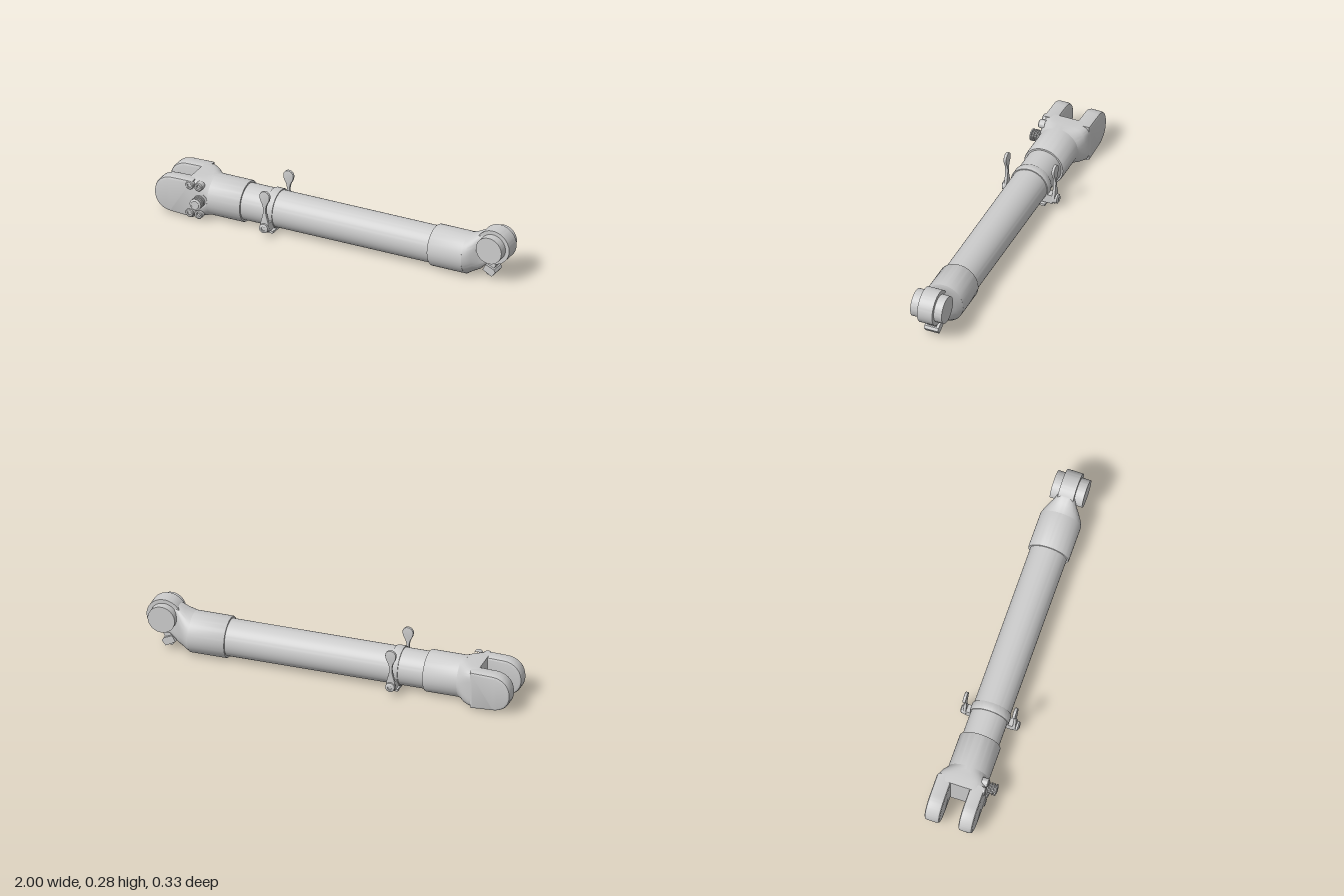
import * as THREE from 'three';
import { toCreasedNormals } from 'three/addons/utils/BufferGeometryUtils.js';

const material = new THREE.MeshStandardMaterial({ color: 0xcccccc });
const AXIS_Y = 0.113, AXIS_Z = -0.006;

export function createModel() {
  const model = new THREE.Group();

  const add = (name, geometry, parent = model) => {
    const mesh = new THREE.Mesh(toCreasedNormals(geometry, 0.55), material);
    mesh.name = name;
    parent.add(mesh);
    return mesh;
  };

  // Turned part along x, from [x, radius] pairs
  const turnedX = (name, profile) => {
    const g = new THREE.LatheGeometry(profile.map(([x, r]) => new THREE.Vector2(r, x)), 64);
    g.rotateZ(-Math.PI / 2).translate(0, AXIS_Y, AXIS_Z);
    return add(name, g);
  };

  // Turned part along z; dir = 1 faces forward, -1 backward
  const turnedZ = (name, profile, x, y, z, dir = 1, sides = 32) => {
    const g = new THREE.LatheGeometry(profile.map(([d, r]) => new THREE.Vector2(r, d)), sides);
    g.rotateX(dir * Math.PI / 2).translate(x, y, z);
    return add(name, g);
  };

  // Flat shape in x/y between two depths with a chamfer on its edges
  const plate = (name, shape, z0, z1, bevel) => {
    const g = new THREE.ExtrudeGeometry(shape, {
      depth: z1 - z0 - 2 * bevel, bevelEnabled: bevel > 0, bevelSize: bevel,
      bevelOffset: -bevel, bevelThickness: bevel, bevelSegments: 2, curveSegments: 24,
    });
    return add(name, g.translate(0, 0, z0 + bevel));
  };

  // Skin through superellipse sections [x, yCentre, zCentre, halfY, halfZ, power]
  const loft = (name, sections) => {
    const n = 64, pos = [], index = [];
    const soft = (v, p) => Math.sign(v) * Math.pow(Math.abs(v), 2 / p);
    for (const [x, cy, cz, hy, hz, p] of sections) {
      for (let i = 0; i < n; i++) {
        const a = i / n * Math.PI * 2;
        pos.push(x, cy + hy * soft(Math.cos(a), p), cz + hz * soft(Math.sin(a), p));
      }
    }
    const last = sections.length - 1;
    for (let s = 0; s < last; s++) {
      for (let i = 0; i < n; i++) {
        const a = s * n + i, b = s * n + (i + 1) % n;
        index.push(a, b, b + n, a, b + n, a + n);
      }
    }
    for (const s of [0, last]) {
      const c = pos.length / 3;
      pos.push(sections[s][0], sections[s][1], sections[s][2]);
      for (let i = 0; i < n; i++) {
        const a = s * n + i, b = s * n + (i + 1) % n;
        index.push(c, ...(s ? [a, b] : [b, a]));
      }
    }
    const g = new THREE.BufferGeometry();
    g.setAttribute('position', new THREE.Float32BufferAttribute(pos, 3));
    g.setIndex(index);
    return add(name, g);
  };

  // Long tube and its end collars
  turnedX('mainTube', [[-0.53, 0], [-0.53, 0.098], [0.58, 0.098], [0.58, 0]]);
  turnedX('leftCollar', [[-0.72, 0], [-0.72, 0.11], [-0.52, 0.11], [-0.515, 0.107], [-0.515, 0]]);
  turnedX('rightCollar', [[0.56, 0], [0.56, 0.107], [0.565, 0.11], [0.757, 0.11], [0.757, 0]]);

  // Fork: body blending into the collar, and two rounded prongs
  loft('forkBody', [
    [-0.815, 0.113, -0.016, 0.105, 0.128, 6],
    [-0.77, 0.113, -0.016, 0.109, 0.128, 5],
    [-0.74, 0.113, -0.013, 0.109, 0.122, 3.5],
    [-0.715, 0.113, -0.008, 0.109, 0.113, 2.4],
    [-0.7, AXIS_Y, AXIS_Z, 0.11, 0.11, 2],
  ]);
  const prong = new THREE.Shape();
  prong.moveTo(-0.78, 0.008);
  prong.lineTo(-0.9, 0.015);
  prong.bezierCurveTo(-0.965, 0.017, -1, 0.06, -1, 0.113);
  prong.bezierCurveTo(-1, 0.168, -0.965, 0.213, -0.9, 0.215);
  prong.lineTo(-0.78, 0.218);
  prong.closePath();
  plate('frontProng', prong, 0.037, 0.112, 0.014);
  plate('backProng', prong, -0.146, -0.064, 0.014);

  // Four socket screws around the ribbed fitting
  for (const x of [-0.795, -0.745]) {
    for (const y of [0.035, 0.193]) {
      turnedZ('forkScrew', [[0, 0.023], [0.032, 0.023], [0.036, 0.019], [0.036, 0.011],
        [0.022, 0.011], [0.022, 0]], x, y, 0.082, 1, 24);
    }
  }
  const ribs = [[0, 0], [0, 0.04], [0.02, 0.04], [0.02, 0.024]];
  for (let i = 0; i < 4; i++) {
    const d = 0.023 + i * 0.014;
    ribs.push([d, 0.024], [d + 0.002, 0.032], [d + 0.008, 0.032], [d + 0.01, 0.024]);
  }
  ribs.push([0.077, 0.022], [0.077, 0]);
  turnedZ('ribbedFitting', ribs, -0.74, 0.113, 0.085);

  // Clamp band around the tube, with an ear, pivot and lever on both sides
  turnedX('clampBand', [[-0.378, 0.097], [-0.378, 0.103], [-0.373, 0.105], [-0.337, 0.105],
    [-0.332, 0.103], [-0.332, 0.097]]);
  const lever = new THREE.Shape();
  lever.moveTo(-0.38, 0.06);
  lever.bezierCurveTo(-0.38, 0.1, -0.363, 0.12, -0.363, 0.16);
  lever.bezierCurveTo(-0.363, 0.2, -0.384, 0.205, -0.384, 0.237);
  lever.absarc(-0.355, 0.237, 0.029, Math.PI, 0, true);
  lever.bezierCurveTo(-0.326, 0.205, -0.347, 0.2, -0.347, 0.16);
  lever.bezierCurveTo(-0.347, 0.12, -0.33, 0.1, -0.33, 0.06);
  lever.absarc(-0.355, 0.058, 0.026, 0, Math.PI, true);
  for (const side of [1, -1]) {
    const at = d => AXIS_Z + side * d;
    plate('lever', lever, Math.min(at(0.126), at(0.142)), Math.max(at(0.126), at(0.142)), 0.003);
    turnedZ('leverPivot', [[0, 0], [0, 0.025], [0.012, 0.025], [0.018, 0.013], [0.018, 0.011],
      [0.012, 0.01], [0.012, 0]], -0.355, 0.06, at(0.14), side, 24);
    const ear = new THREE.BoxGeometry(0.044, 0.05, 0.055);
    add('clampEar', ear.translate(-0.355, 0.06, at(0.1)));
  }
  const strap = new THREE.BoxGeometry(0.04, 0.012, 0.17);
  add('clampStrap', strap.translate(-0.355, 0.012, AXIS_Z));

  // Neck narrowing from the right collar to the raised eye
  loft('eyeNeck', [
    [0.755, AXIS_Y, AXIS_Z, 0.11, 0.11, 2],
    [0.775, 0.122, AXIS_Z, 0.106, 0.102, 2.1],
    [0.8, 0.135, AXIS_Z, 0.104, 0.085, 2.3],
    [0.825, 0.148, AXIS_Z, 0.104, 0.063, 3],
    [0.85, 0.165, AXIS_Z, 0.095, 0.046, 5],
    [0.88, 0.18, AXIS_Z, 0.08, 0.041, 8],
    [0.91, 0.194, AXIS_Z, 0.07, 0.04, 8],
  ]);
  turnedZ('eye', [[0, 0], [0, 0.094], [0.084, 0.094], [0.084, 0]], 0.906, 0.194, -0.048, 1, 64);
  turnedZ('eyePin', [[0, 0], [0, 0.073], [0.175, 0.073], [0.175, 0]], 0.906, 0.194, -0.092, 1, 64);

  // Small retaining block with two studs under the eye
  const block = new THREE.Group();
  block.name = 'retainingBlock';
  block.position.set(0.882, 0.057, AXIS_Z);
  block.rotation.z = -0.5;
  model.add(block);
  const base = new THREE.Shape();
  base.moveTo(-0.03, -0.022);
  base.lineTo(0.03, -0.022);
  base.lineTo(0.036, 0.01);
  base.lineTo(0.022, 0.02);
  base.lineTo(-0.03, 0.016);
  base.closePath();
  const baseGeometry = new THREE.ExtrudeGeometry(base, { depth: 0.078, bevelEnabled: false });
  add('blockBody', baseGeometry.translate(0, 0, -0.039), block);
  add('blockStem', new THREE.BoxGeometry(0.04, 0.08, 0.05).translate(-0.005, 0.03, 0), block);
  for (const z of [-0.02, 0.02]) {
    const stud = new THREE.CylinderGeometry(0.011, 0.011, 0.012, 20);
    add('blockStud', stud.translate(0, -0.026, z), block);
  }
  return model;
}
